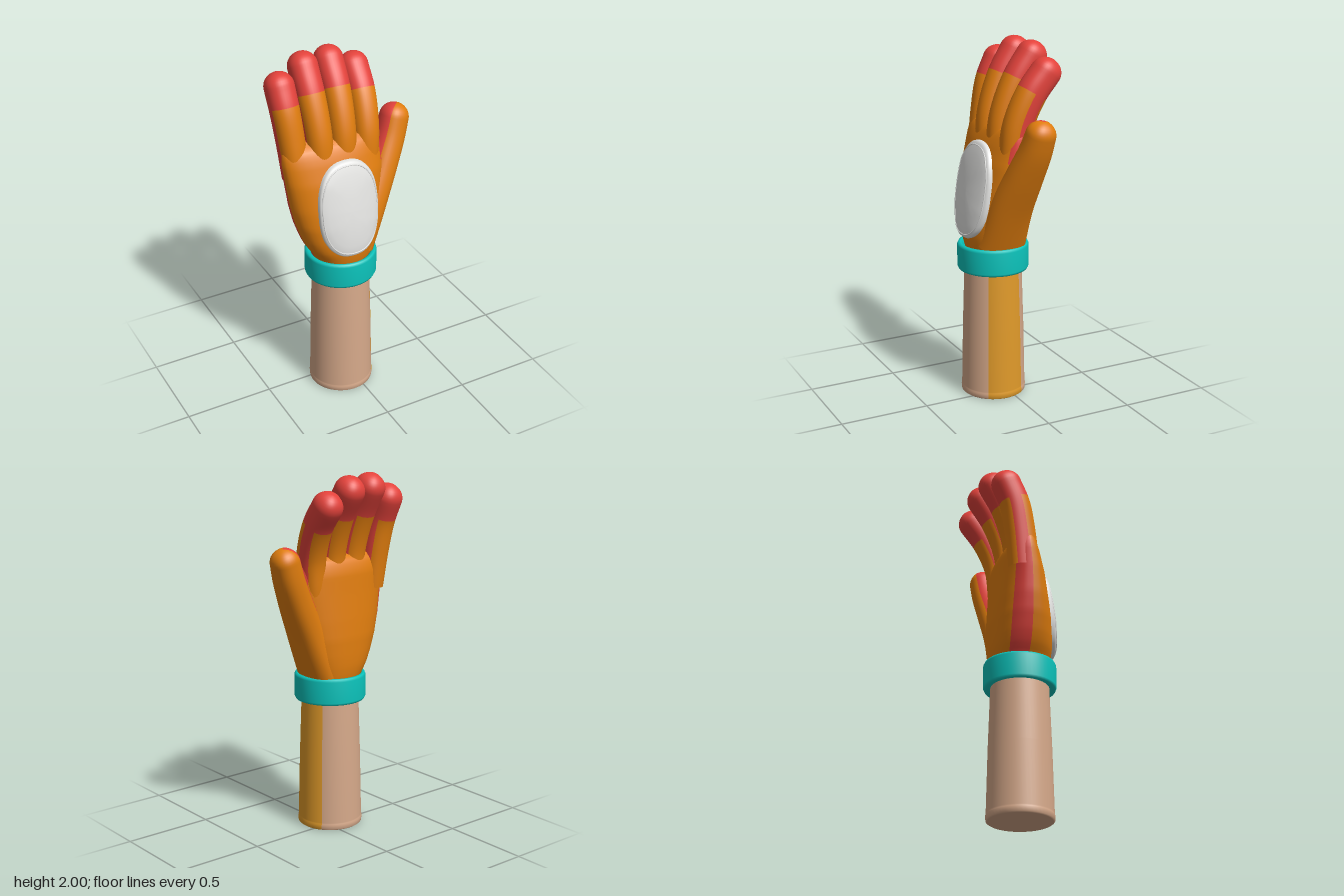
import * as THREE from 'three';

const mat = (name, color, side = THREE.FrontSide) => {
  const m = new THREE.MeshStandardMaterial({ color, side });
  m.name = name;
  return m;
};
const V = (x, y, z) => new THREE.Vector3(x, y, z);
const SEG = 40;
const spow = (v, p) => Math.sign(v) * Math.pow(Math.abs(v), p);

// Skin over rings; each ring has a centre c, side axis s, front axis f, half sizes a, b and squareness n.
// isRed(ringIndex, sinA, cosA) picks the second material for a face.
function skin(name, rings, materials, isRed) {
  const pos = [], idx = [[], []];
  for (const r of rings) {
    for (let k = 0; k < SEG; k++) {
      const t = (k / SEG) * Math.PI * 2;
      const p = r.c.clone()
        .addScaledVector(r.s, r.a * spow(Math.cos(t), 2 / r.n))
        .addScaledVector(r.f, r.b * spow(Math.sin(t), 2 / r.n));
      pos.push(p.x, p.y, p.z);
    }
  }
  for (let i = 0; i < rings.length - 1; i++) {
    for (let k = 0; k < SEG; k++) {
      const t = ((k + 0.5) / SEG) * Math.PI * 2;
      const a = i * SEG + k, b = i * SEG + (k + 1) % SEG, c = a + SEG, d = b + SEG;
      idx[isRed(i, Math.sin(t), Math.cos(t)) ? 1 : 0].push(a, c, b, b, c, d);
    }
  }
  const g = new THREE.BufferGeometry();
  g.setAttribute('position', new THREE.Float32BufferAttribute(pos, 3));
  g.setIndex([...idx[0], ...idx[1]]);
  g.addGroup(0, idx[0].length, 0);
  g.addGroup(idx[0].length, idx[1].length, 1);
  g.computeVertexNormals();
  const mesh = new THREE.Mesh(g, materials);
  mesh.name = name;
  return mesh;
}

// Rings along a curve, closed by a round tip; sizes run from [a, b] at the base to [a, b] at the tip
function digitRings(points, base, tip) {
  const curve = new THREE.CatmullRomCurve3(points.map(p => V(...p)));
  const rings = [], BODY = 28, CAP = 9;
  const add = (u, scale, push) => {
    const T = curve.getTangentAt(u);
    const s = V(1, 0, 0).addScaledVector(T, -T.x).normalize();
    const f = s.clone().cross(T);
    const a = THREE.MathUtils.lerp(base[0], tip[0], u), b = THREE.MathUtils.lerp(base[1], tip[1], u);
    rings.push({ c: curve.getPointAt(u).addScaledVector(T, push), s, f, a: a * scale, b: b * scale, n: 2.25 });
  };
  for (let i = 0; i <= BODY; i++) add(i / BODY, 1, 0);
  for (let i = 1; i <= CAP; i++) {
    const q = (i / CAP) * Math.PI / 2;
    add(1, Math.max(Math.cos(q), 0.001), Math.sin(q) * tip[0]);
  }
  return rings;
}

// Palm sections: height, x min, x max, z min, z max
const PALM = [
  [0.80, -0.20, 0.09, -0.09, 0.19], [0.88, -0.225, 0.11, -0.11, 0.21],
  [0.94, -0.265, 0.13, -0.118, 0.218], [1.0, -0.293, 0.15, -0.12, 0.215],
  [1.1, -0.327, 0.172, -0.12, 0.203], [1.2, -0.35, 0.187, -0.113, 0.183],
  [1.35, -0.371, 0.2, -0.1, 0.15], [1.46, -0.382, 0.197, -0.092, 0.113],
  [1.52, -0.38, 0.19, -0.075, 0.085], [1.555, -0.36, 0.17, -0.045, 0.05],
  [1.57, -0.3, 0.1, -0.002, 0.002],
];
const PALM_N = 2.35;
function palmAt(y) {
  let i = 0;
  while (i < PALM.length - 2 && PALM[i + 1][0] < y) i++;
  const k = (y - PALM[i][0]) / (PALM[i + 1][0] - PALM[i][0]);
  const [, x0, x1, z0, z1] = PALM[i].map((v, j) => THREE.MathUtils.lerp(v, PALM[i + 1][j], k));
  return { x: (x0 + x1) / 2, a: (x1 - x0) / 2, z: (z0 + z1) / 2, b: (z1 - z0) / 2 };
}
function palmFront(x, y) {
  const p = palmAt(y), d = Math.min(1, Math.abs((x - p.x) / p.a));
  return p.z + p.b * Math.pow(1 - Math.pow(d, PALM_N), 1 / PALM_N);
}

// Oval outline of the pad at a given scale, lifted off the back of the hand
function padPoint(t, scale, lift) {
  const x = -0.07 + 0.178 * scale * spow(Math.cos(t), 0.82);
  const y = 1.195 + 0.265 * scale * spow(Math.sin(t), 0.82);
  return V(x, y, palmFront(x, y) + lift);
}

function createPad(material) {
  const N = 64, pos = [], idx = [];
  const rows = [[1, -0.02], [1, 0.014], [0.97, 0.023], [0.9, 0.026], [0.75, 0.028], [0.5, 0.029], [0.25, 0.03], [0.001, 0.03]];
  for (const [s, lift] of rows)
    for (let k = 0; k < N; k++) pos.push(...padPoint((k / N) * Math.PI * 2, s, lift).toArray());
  for (let i = 0; i < rows.length - 1; i++)
    for (let k = 0; k < N; k++) {
      const a = i * N + k, b = i * N + (k + 1) % N;
      idx.push(a, b, a + N, b, b + N, a + N);
    }
  const g = new THREE.BufferGeometry();
  g.setAttribute('position', new THREE.Float32BufferAttribute(pos, 3));
  g.setIndex(idx);
  g.computeVertexNormals();
  const seamPts = Array.from({ length: 48 }, (_, k) => padPoint((k / 48) * Math.PI * 2, 0.92, 0.025));
  const seam = new THREE.Mesh(new THREE.TubeGeometry(new THREE.CatmullRomCurve3(seamPts, true), 96, 0.004, 6, true), material);
  seam.name = 'padSeam';
  const pad = new THREE.Mesh(g, material);
  pad.name = 'pad';
  const group = new THREE.Group();
  group.name = 'backPad';
  group.add(pad, seam);
  return group;
}

export function createModel() {
  const orange = mat('glove orange', 0xe07d0e), red = mat('glove red', 0xe3423b);
  const teal = mat('cuff teal', 0x0cc4bc), tan = mat('sleeve tan', 0xd6a98a);
  const yellow = mat('sleeve stripe yellow', 0xe09a2a), white = mat('pad white', 0xe2e2e0, THREE.DoubleSide);
  const glove = [orange, red];
  const model = new THREE.Group();
  model.name = 'glovedHand';

  // Sleeve with a side stripe
  const sleeveProfile = [[0, 0], [0.172, 0], [0.18, 0.006], [0.182, 0.03], [0.177, 0.036], [0.179, 0.044], [0.171, 0.4], [0.16, 0.74], [0.155, 0.8], [0, 0.8]]
    .map(p => new THREE.Vector2(...p));
  const HALF = 0.62;
  const lathe = (name, profile, material, n, start, length) => {
    const m = new THREE.Mesh(new THREE.LatheGeometry(profile, n, start, length), material);
    m.name = name;
    m.position.set(-0.061, 0, 0.055);
    model.add(m);
    return m;
  };
  lathe('sleeve', sleeveProfile, tan, 40, Math.PI / 2 + HALF, Math.PI * 2 - HALF * 2);
  lathe('sleeveStripe', sleeveProfile.slice(1, -1), yellow, 10, Math.PI / 2 - HALF, HALF * 2);
  lathe('sleeveStripeBase', sleeveProfile.slice(0, 2), tan, 10, Math.PI / 2 - HALF, HALF * 2);

  // Cuff band
  const cuffProfile = [[0.155, 0.745], [0.18, 0.735], [0.193, 0.737], [0.199, 0.75], [0.199, 0.87], [0.193, 0.883], [0.18, 0.886], [0.168, 0.875], [0.155, 0.83]]
    .map(p => new THREE.Vector2(...p));
  lathe('cuff', cuffProfile, teal, 48, 0, Math.PI * 2);

  // Palm, with red edge panels on the little finger side and above the thumb
  const palmRings = [], PY = 36;
  for (let i = 0; i <= PY; i++) {
    const y = THREE.MathUtils.lerp(0.8, 1.57, i / PY), p = palmAt(y);
    palmRings.push({ c: V(p.x, y, p.z), s: V(1, 0, 0), f: V(0, 0, 1), a: p.a, b: p.b, n: PALM_N });
  }
  model.add(skin('palm', palmRings, glove, (i, s, c) =>
    (c < 0 && s > -0.6 && s < 0.05) || (c > 0 && Math.abs(s) < 0.45 && palmRings[i].c.y > 1.36)));

  // Fingers: red tips and side panels
  const fingers = [
    ['littleFinger', [[-0.295, 1.36, -0.0], [-0.31, 1.56, -0.025], [-0.322, 1.73, -0.06], [-0.325, 1.85, -0.112]], 1.75],
    ['ringFinger', [[-0.16, 1.36, 0.02], [-0.168, 1.58, 0.005], [-0.174, 1.78, -0.06], [-0.175, 1.92, -0.14]], 1.79],
    ['middleFinger', [[-0.03, 1.36, 0.02], [-0.026, 1.58, 0.003], [-0.02, 1.78, -0.07], [-0.017, 1.915, -0.158]], 1.79],
    ['indexFinger', [[0.105, 1.36, 0.015], [0.118, 1.56, -0.005], [0.131, 1.73, -0.075], [0.135, 1.845, -0.162]], 1.73],
  ];
  for (const [name, points, tipY] of fingers) {
    const rings = digitRings(points, [0.07, 0.086], [0.078, 0.083]);
    model.add(skin(name, rings, glove, (i, s) => rings[i].c.y > tipY || (s > -0.62 && s < 0.2)));
  }

  // Thumb: red inner panel running over the tip
  const thumb = digitRings(
    [[0.02, 0.9, 0.05], [0.12, 1.12, 0.035], [0.215, 1.31, 0.005], [0.285, 1.46, -0.022], [0.318, 1.555, -0.035]],
    [0.098, 0.145], [0.077, 0.08]);
  model.add(skin('thumb', thumb, glove, (i, s, c) =>
    i > 8 && (c < -0.65 || (i > 30 && c < 0.4 && Math.abs(s) < 0.75))));

  model.add(createPad(white));
  return model;
}
